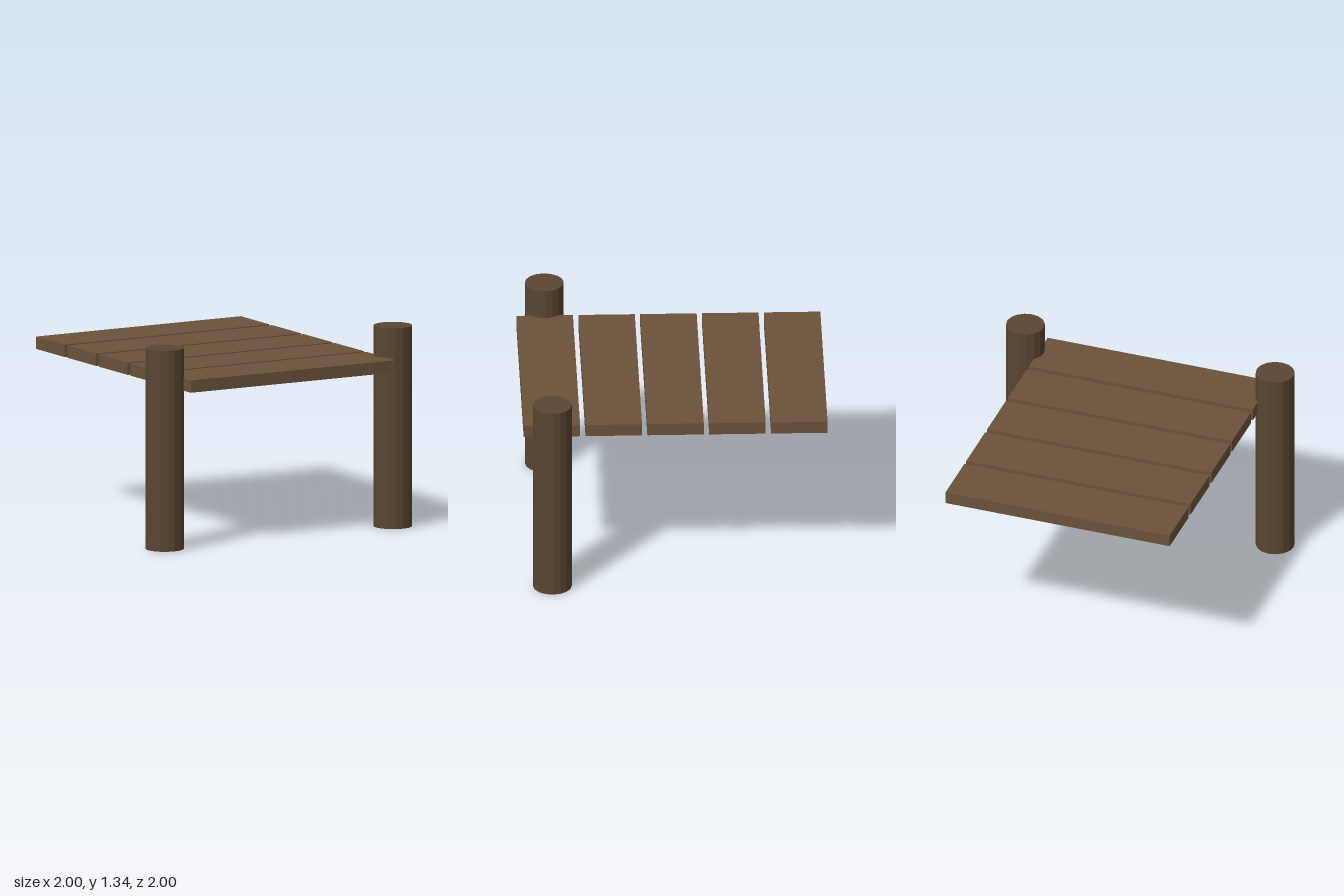
import * as THREE from 'three';

export function createModel() {
  const model = new THREE.Group();
  model.name = 'dock';

  const plankMaterial = new THREE.MeshStandardMaterial({ color: 0x6b523a });
  const postMaterial = new THREE.MeshStandardMaterial({ color: 0x5a4632, flatShading: true });

  // Deck: five planks with narrow gaps, running front to back
  const plankCount = 5;
  const plankDepth = 0.372;
  const pitch = (2 - plankDepth) / (plankCount - 1);
  const plankGeometry = new THREE.BoxGeometry(1.566, 0.082, plankDepth);
  for (let i = 0; i < plankCount; i++) {
    const plank = new THREE.Mesh(plankGeometry, plankMaterial);
    plank.name = `plank${i + 1}`;
    plank.position.set(0, 1.1, (i - (plankCount - 1) / 2) * pitch);
    model.add(plank);
  }

  // Posts: a mirrored pair of round piles at the front plank
  const radius = 0.128;
  const height = 1.34;
  const postGeometry = new THREE.CylinderGeometry(radius, radius, height, 16);
  for (const side of [-1, 1]) {
    const post = new THREE.Mesh(postGeometry, postMaterial);
    post.name = side > 0 ? 'leftPost' : 'rightPost';
    post.position.set(side * (1 - radius), height / 2, 2 * pitch);
    model.add(post);
  }

  return model;
}
